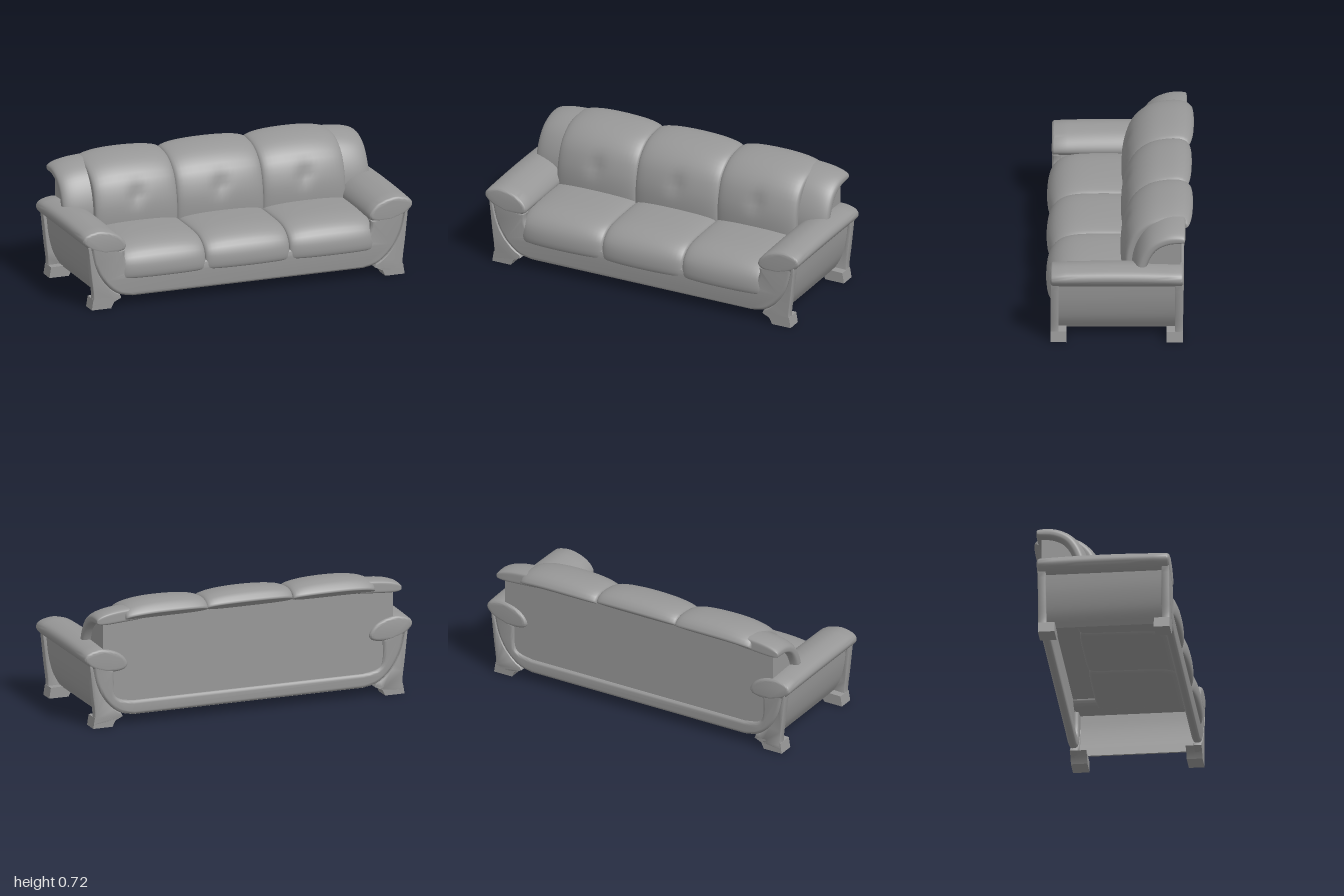
import * as THREE from 'three';
import { toCreasedNormals } from 'three/addons/utils/BufferGeometryUtils.js';

const material = new THREE.MeshStandardMaterial({ color: 0x979797, side: THREE.DoubleSide });
const v2 = ([x, y]) => new THREE.Vector2(x, y);
const mirrored = (pts) => pts.map(([x, y]) => [-x, y]).reverse();

function addMesh(parent, name, geometry) {
  const mesh = new THREE.Mesh(geometry, material);
  mesh.name = name;
  parent.add(mesh);
}

// smooth open curve through a few points
const smooth = (pts, n = 14) => new THREE.SplineCurve(pts.map(v2)).getPoints(n).map((p) => [p.x, p.y]);

// extrude an outline between z0 and z1, with an optional rounded edge
function slab(pts, z0, z1, bevel = 0, steps = 1) {
  const geometry = new THREE.ExtrudeGeometry(new THREE.Shape(pts.map(v2)), {
    depth: z1 - z0 - 2 * bevel, steps, bevelEnabled: bevel > 0,
    bevelSize: bevel, bevelThickness: bevel, bevelOffset: -bevel, bevelSegments: 5,
  });
  return geometry.translate(0, 0, z0 + bevel);
}
const creased = (geometry) => toCreasedNormals(geometry, 0.8);

// point on a superellipse at a polar angle
function squircle(a, n) {
  const c = Math.cos(a), s = Math.sin(a);
  const r = 1 / (Math.abs(c) ** n + Math.abs(s) ** n) ** (1 / n);
  return [r * c, r * s];
}

// padded cushion from x0 to x1, wrapped round a spine of [z, y] points running forward
function cushion(x0, x1, spinePts, { half, n = 5, round = 4, crown = 0, tuft = 0, droop = 0 }) {
  const spine = new THREE.SplineCurve(spinePts.map(v2));
  const U = 28, A = 72, pos = [], index = [];
  const mid = (x0 + x1) / 2;
  for (let i = 0; i <= U; i++) {
    const [f0, u] = squircle(-Math.PI / 2 + (Math.PI * i) / U, round);
    const f = Math.max(f0, 0);
    const x = mid + (u * (x1 - x0)) / 2;
    const drop = droop * Math.max(0, Math.abs(x) - 0.55) ** 2;
    for (let j = 0; j < A; j++) {
      const [along, across] = squircle((2 * Math.PI * j) / A, n);
      const s = 0.5 + along * 0.5 * (0.94 + 0.06 * f);
      const p = spine.getPoint(s), d = spine.getTangent(s);
      let t = across * half * f;
      if (across > 0) {
        t += across * crown * (1 - u * u);
        t -= across * tuft * Math.exp(-((x - mid) ** 2 + (p.y - 0.5) ** 2) / 0.002);
      }
      pos.push(x, p.y + d.x * t - drop, p.x - d.y * t);
    }
  }
  for (let i = 0; i < U; i++) {
    for (let j = 0; j < A; j++) {
      const a = i * A + j, b = i * A + ((j + 1) % A);
      index.push(a, a + A, b + A, a, b + A, b);
    }
  }
  const geometry = new THREE.BufferGeometry();
  geometry.setAttribute('position', new THREE.Float32BufferAttribute(pos, 3));
  geometry.setIndex(index);
  geometry.computeVertexNormals();
  return geometry;
}

export function createModel() {
  const sofa = new THREE.Group();
  sofa.name = 'sofa';

  // curve of the body, from under the arm down to the bottom rail
  const sweep = smooth([[0.955, 0.38], [0.925, 0.25], [0.87, 0.15], [0.79, 0.08], [0.7, 0.057]]);
  const bowl = [...sweep, ...mirrored(sweep)];

  // U-shaped front and back rails
  const rail = (innerX, topY) => {
    const inner = smooth([[innerX - 0.12, topY], [innerX - 0.03, topY + 0.02], [innerX, topY + 0.07], [innerX, 0.335]]);
    return [...bowl, ...mirrored(inner), ...inner];
  };
  addMesh(sofa, 'frontRail', creased(slab(rail(0.745, 0.22), 0.343, 0.391, 0.02)));
  addMesh(sofa, 'backRail', creased(slab(rail(0.82, 0.14), -0.36, -0.312, 0.02)));
  addMesh(sofa, 'lowerBackPanel', creased(slab(bowl, -0.345, -0.335)));

  // back shell: side outline extruded across the width
  const shellOutline = [[0.345, 0.36], [0.345, 0.635], [0.28, 0.63], [0.21, 0.595], [0.155, 0.53], [0.13, 0.45], [0.13, 0.36]];
  addMesh(sofa, 'backShell', creased(slab(shellOutline, -0.885, 0.885).rotateY(Math.PI / 2)));

  // arm section, wide and tilted up on the outside
  const armPts = smooth([[0.87, 0.323], [0.94, 0.347], [0.984, 0.378], [1.0, 0.411], [0.975, 0.443], [0.9, 0.459],
    [0.82, 0.442], [0.765, 0.408], [0.738, 0.365], [0.752, 0.335], [0.8, 0.322], [0.87, 0.323]], 48).slice(0, -1);

  // thin side panel, leaning in towards the bottom
  const panelCurve = smooth([[0.95, 0.37], [0.938, 0.25], [0.91, 0.14], [0.865, 0.058]]);
  const panelPts = [...panelCurve, ...panelCurve.map(([x, y]) => [x - 0.012, y]).reverse()];

  // leg: crescent outside the body curve, with a deeper foot below
  const legPts = [...smooth([[0.945, 0.02], [0.938, 0.08], [0.952, 0.2], [0.97, 0.37]], 10),
    ...sweep.slice(0, 12), [0.77, 0.056], [0.815, 0.035]];
  const footPts = [[0.95, 0], [0.94, 0.062], [0.865, 0.064], [0.77, 0.056], [0.815, 0.035], [0.832, 0]];

  for (const side of [1, -1]) {
    const name = side > 0 ? 'left' : 'right';
    const flip = (pts) => (side > 0 ? pts : mirrored(pts));

    // arm rest with a slight rise in the middle
    const arm = slab(flip(armPts), -0.362, 0.392, 0.018, 10);
    const p = arm.attributes.position;
    for (let i = 0; i < p.count; i++) {
      const k = (p.getZ(i) - 0.015) / 0.377;
      const lift = Math.min(1, Math.max(0, (p.getY(i) - 0.36) / 0.08));
      p.setY(i, p.getY(i) + 0.009 * lift * (1 - k * k));
    }
    addMesh(sofa, name + 'Arm', creased(arm));
    addMesh(sofa, name + 'SidePanel', creased(slab(flip(panelPts), -0.32, 0.355)));

    for (const [end, z0, z1, f0, f1] of [['Front', 0.345, 0.39, 0.3, 0.39], ['Back', -0.358, -0.312, -0.358, -0.264]]) {
      const leg = new THREE.Group();
      leg.name = name + end + 'Leg';
      addMesh(leg, 'upright', creased(slab(flip(legPts), z0, z1, 0.004)));
      addMesh(leg, 'foot', creased(slab(flip(footPts), f0, f1)));
      sofa.add(leg);
    }

    // narrow outer back cushion
    const ends = side > 0 ? [0.6, 0.93] : [-0.93, -0.6];
    addMesh(sofa, name + 'WingCushion', cushion(...ends,
      [[-0.372, 0.65], [-0.28, 0.646], [-0.2, 0.61], [-0.15, 0.545], [-0.12, 0.46], [-0.11, 0.36]],
      { half: 0.038, n: 6, round: 3.2, crown: 0.01, droop: 0.16 }));
  }

  // three seats, each with a front edge rolled down over the rail, and three curled-over backs
  const names = ['right', 'middle', 'left'];
  [-0.51, 0, 0.51].forEach((x, i) => {
    addMesh(sofa, names[i] + 'SeatCushion', cushion(x - 0.255, x + 0.255,
      [[-0.2, 0.318], [0.1, 0.32], [0.27, 0.31], [0.345, 0.27], [0.364, 0.215], [0.364, 0.163]],
      { half: 0.04, crown: 0.014 }));
    const back = i === 1 ? 0.008 : 0;
    const w = i === 1 ? 0.262 : 0.25;
    addMesh(sofa, names[i] + 'BackCushion', cushion(x - w, x + w,
      [[-0.378 + back, 0.634], [-0.36 + back, 0.654], [-0.31, 0.665], [-0.22, 0.655], [-0.155, 0.628], [-0.1, 0.575],
        [-0.07, 0.5], [-0.055, 0.42], [-0.05, 0.3]],
      { half: 0.04, crown: 0.015, tuft: 0.018, droop: 0.16 }));
  });
  return sofa;
}
